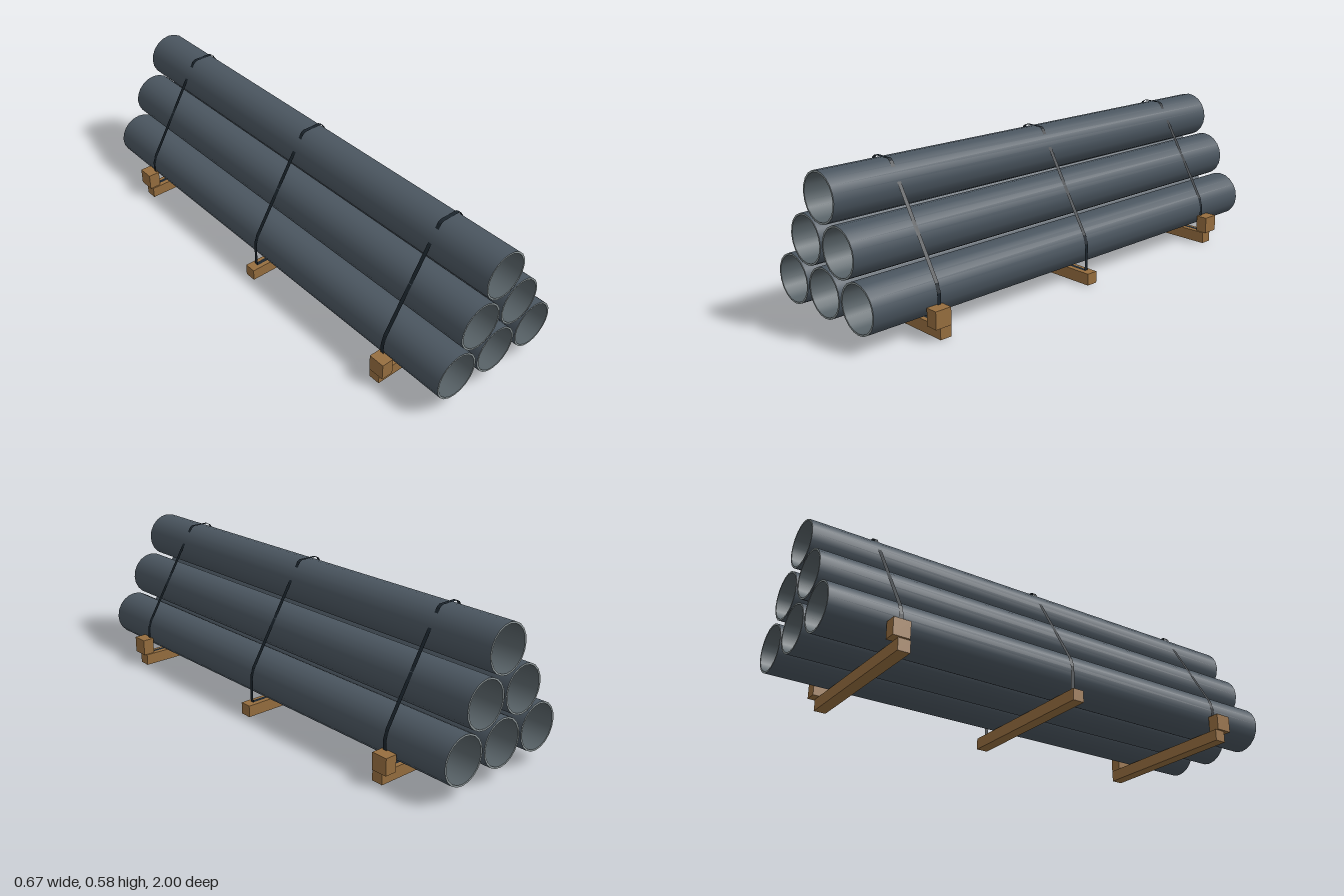
import * as THREE from 'three';

const mat = (name, color, side = THREE.FrontSide) => {
  const m = new THREE.MeshStandardMaterial({ color, side });
  m.name = name;
  return m;
};

export function createModel() {
  const steel = mat('dark steel', 0x4a555f);
  const bore = mat('pipe bore', 0x576166);
  const cutEdge = mat('cut pipe edge', 0x8c9698);
  const wood = mat('timber', 0x966e3f);
  const band = mat('strap band', 0x1b242c, THREE.DoubleSide);

  const model = new THREE.Group();
  model.name = 'pipeStack';
  const add = (parent, name, geometry, material, x = 0, y = 0, z = 0) => {
    const mesh = new THREE.Mesh(geometry, material);
    mesh.name = name;
    mesh.position.set(x, y, z);
    parent.add(mesh);
    return mesh;
  };

  // Hollow pipes: outer wall, inner wall and two end rims
  const R = 0.094, r = 0.087, sides = 20, length = 2;
  const outer = new THREE.CylinderGeometry(R, R, length, sides, 1, true).rotateX(Math.PI / 2);
  const inner = new THREE.CylinderGeometry(r, r, length, sides, 1, true).rotateX(Math.PI / 2);
  inner.scale(-1, 1, 1); // mirrored so that the faces look inwards
  const normals = inner.attributes.normal;
  for (let i = 0; i < normals.count; i++) {
    normals.setXYZ(i, -normals.getX(i), -normals.getY(i), -normals.getZ(i));
  }
  const rim = new THREE.RingGeometry(r, R, sides, 1, Math.PI / 2);
  const backRim = rim.clone().rotateY(Math.PI);

  // Three rows: three, two and one
  for (let row = 0; row < 3; row++) {
    const count = 3 - row;
    for (let i = 0; i < count; i++) {
      const pipe = new THREE.Group();
      pipe.name = 'pipe';
      pipe.position.set((i - (count - 1) / 2) * 0.197, 0.144 + row * 0.1715, 0);
      add(pipe, 'pipeWall', outer, steel);
      add(pipe, 'pipeBore', inner, bore);
      add(pipe, 'frontRim', rim, cutEdge, 0, 0, length / 2);
      add(pipe, 'backRim', backRim, cutEdge, 0, 0, -length / 2);
      model.add(pipe);
    }
  }

  // Flat strap loop around the stack, as a thin ribbon
  const half = [[0.295, 0.0485], [0.295, 0.155], [0.284, 0.19], [0.05, 0.576], [0.038, 0.583]];
  const loop = [...half, ...half.map(([x, y]) => [-x, y]).reverse()];
  const strapWidth = 0.016;
  const positions = [], index = [];
  loop.forEach(([x, y], i) => {
    const [x2, y2] = loop[(i + 1) % loop.length];
    const h = strapWidth / 2, b = i * 4;
    positions.push(x, y, h, x, y, -h, x2, y2, -h, x2, y2, h);
    index.push(b, b + 1, b + 2, b, b + 2, b + 3);
  });
  const strap = new THREE.BufferGeometry();
  strap.setAttribute('position', new THREE.Float32BufferAttribute(positions, 3));
  strap.setIndex(index);
  strap.computeVertexNormals();

  // Bearers with a strap each, and chocks on the outer two
  const beam = new THREE.BoxGeometry(0.656, 0.047, 0.048);
  const chock = new THREE.BoxGeometry(0.049, 0.067, 0.067);
  for (const s of [-1, 0, 1]) {
    const z = s * 0.733;
    add(model, 'bearer', beam, wood, 0, 0.0235, z);
    add(model, 'strap', strap, band, 0, 0, z);
    if (s === 0) continue;
    for (const side of [-1, 1]) {
      add(model, 'chock', chock, wood, side * 0.3125, 0.0805, s * 0.749);
    }
  }
  return model;
}
